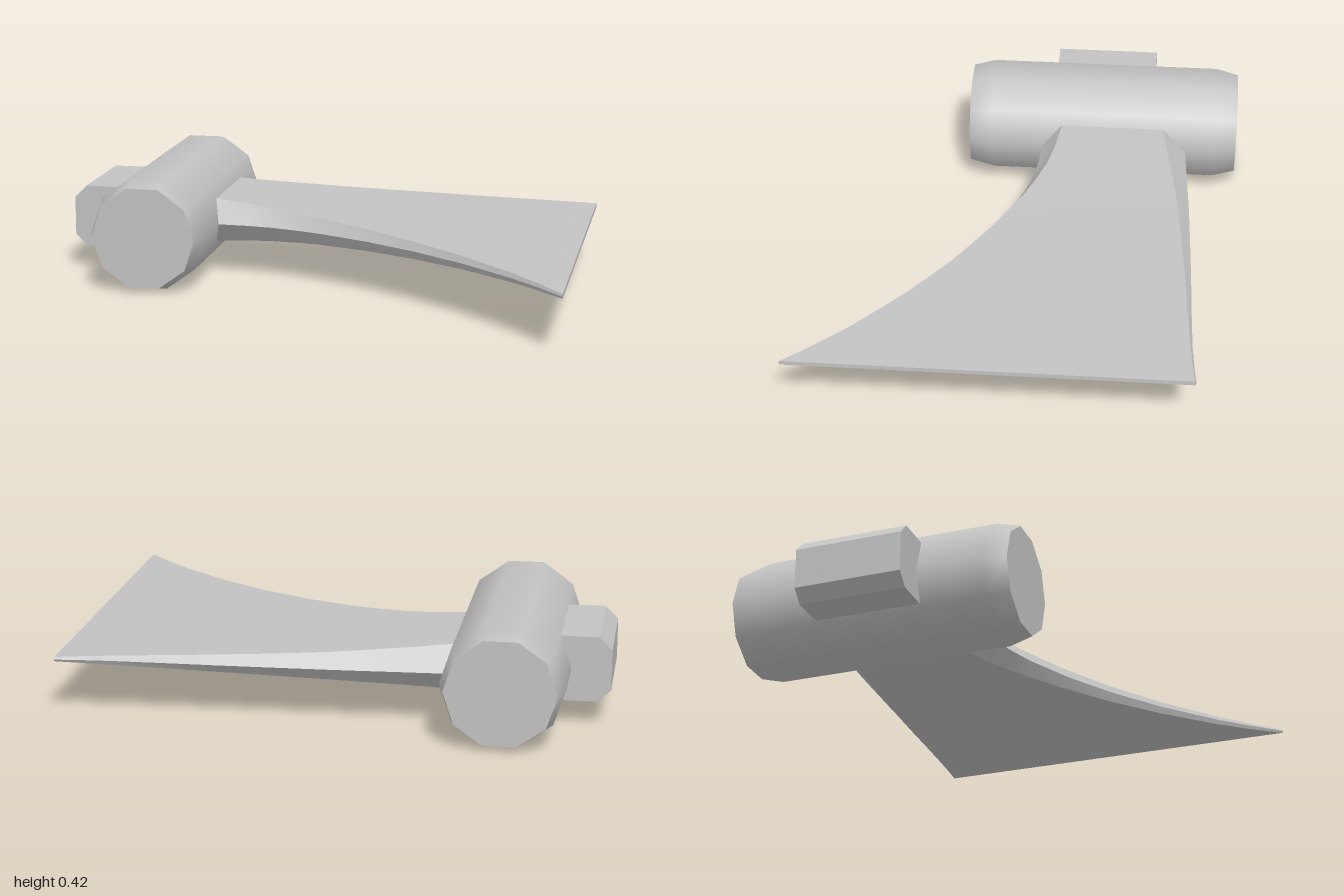
import * as THREE from 'three';

const MID_Y = 0.213;

// Blade stations: x, half thickness, back outer z, back inner z, front inner z, front outer z
const STATIONS = [
  [-0.50, 0.088, -0.592, -0.500, -0.120, -0.032],
  [-0.43, 0.084, -0.600, -0.512, -0.108, -0.031],
  [-0.30, 0.073, -0.607, -0.532, -0.090, -0.027],
  [-0.20, 0.066, -0.613, -0.547, -0.067, -0.014],
  [-0.10, 0.059, -0.619, -0.562, -0.032, 0.012],
  [0.00, 0.052, -0.624, -0.576, 0.010, 0.045],
  [0.20, 0.042, -0.632, -0.596, 0.112, 0.136],
  [0.40, 0.033, -0.639, -0.613, 0.236, 0.253],
  [0.60, 0.025, -0.644, -0.627, 0.385, 0.397],
  [0.80, 0.017, -0.651, -0.642, 0.563, 0.572],
  [0.90, 0.013, -0.658, -0.651, 0.668, 0.675],
  [1.00, 0.008, -0.668, -0.662, 0.785, 0.790],
];

// Six-sided section: flat cheeks on top and below, bevels meeting at mid height
function section([x, h, backOut, backIn, frontIn, frontOut]) {
  return [
    [x, MID_Y + h, backIn], [x, MID_Y + h, frontIn], [x, MID_Y, frontOut],
    [x, MID_Y - h, frontIn], [x, MID_Y - h, backIn], [x, MID_Y, backOut],
  ];
}

// Each side is its own strip, so it is smooth along its length and sharp at its borders
function bladeGeometry() {
  const rings = STATIONS.map(section);
  const pos = [];
  const idx = [];
  for (let j = 0; j < 6; j++) {
    const start = pos.length / 3;
    rings.forEach((ring) => pos.push(...ring[j], ...ring[(j + 1) % 6]));
    for (let i = 0; i < rings.length - 1; i++) {
      const a = start + i * 2;
      idx.push(a, a + 1, a + 3, a, a + 3, a + 2);
    }
  }
  // thin cutting edge
  const cap = pos.length / 3;
  rings[rings.length - 1].forEach((p) => pos.push(...p));
  for (let k = 1; k < 5; k++) idx.push(cap, cap + k, cap + k + 1);

  const geo = new THREE.BufferGeometry();
  geo.setAttribute('position', new THREE.Float32BufferAttribute(pos, 3));
  geo.setIndex(idx);
  geo.computeVertexNormals();
  return geo;
}

export function createModel() {
  const steel = new THREE.MeshStandardMaterial({ color: 0xc2c2c2 });
  steel.name = 'steel';
  const model = new THREE.Group();
  model.name = 'axeHead';

  const add = (name, geometry, parent = model) => {
    const mesh = new THREE.Mesh(geometry, steel);
    mesh.name = name;
    parent.add(mesh);
    return mesh;
  };

  // Ten-sided socket lying along z, tapered at both ends
  const socket = new THREE.Group();
  socket.name = 'socket';
  socket.position.set(-0.633, MID_Y, -0.27);
  model.add(socket);
  const half = 0.53, radius = 0.223, endRadius = 0.2, taper = 0.085;
  const profile = [
    [endRadius, -half], [radius, -half + taper], [radius, half - taper], [endRadius, half],
  ].map(([r, y]) => new THREE.Vector2(r, y));
  add('socketBody', new THREE.LatheGeometry(profile, 10, Math.PI / 2).rotateX(Math.PI / 2), socket);
  const capGeo = new THREE.CircleGeometry(endRadius, 10);
  add('socketFrontCap', capGeo, socket).position.z = half;
  const backCap = add('socketBackCap', capGeo, socket);
  backCap.position.z = -half;
  backCap.rotation.y = Math.PI;

  // Hammer block with chamfered outer edges
  const block = new THREE.Shape([
    [-1, 0.138], [-0.953, 0.093], [-0.7, 0.093], [-0.7, 0.335], [-0.953, 0.335], [-1, 0.288],
  ].map(([x, y]) => new THREE.Vector2(x, y)));
  add('hammerBlock', new THREE.ExtrudeGeometry(block, { depth: 0.4, bevelEnabled: false }))
    .position.z = -0.47;

  // Flared blade
  add('blade', bladeGeometry());

  return model;
}
